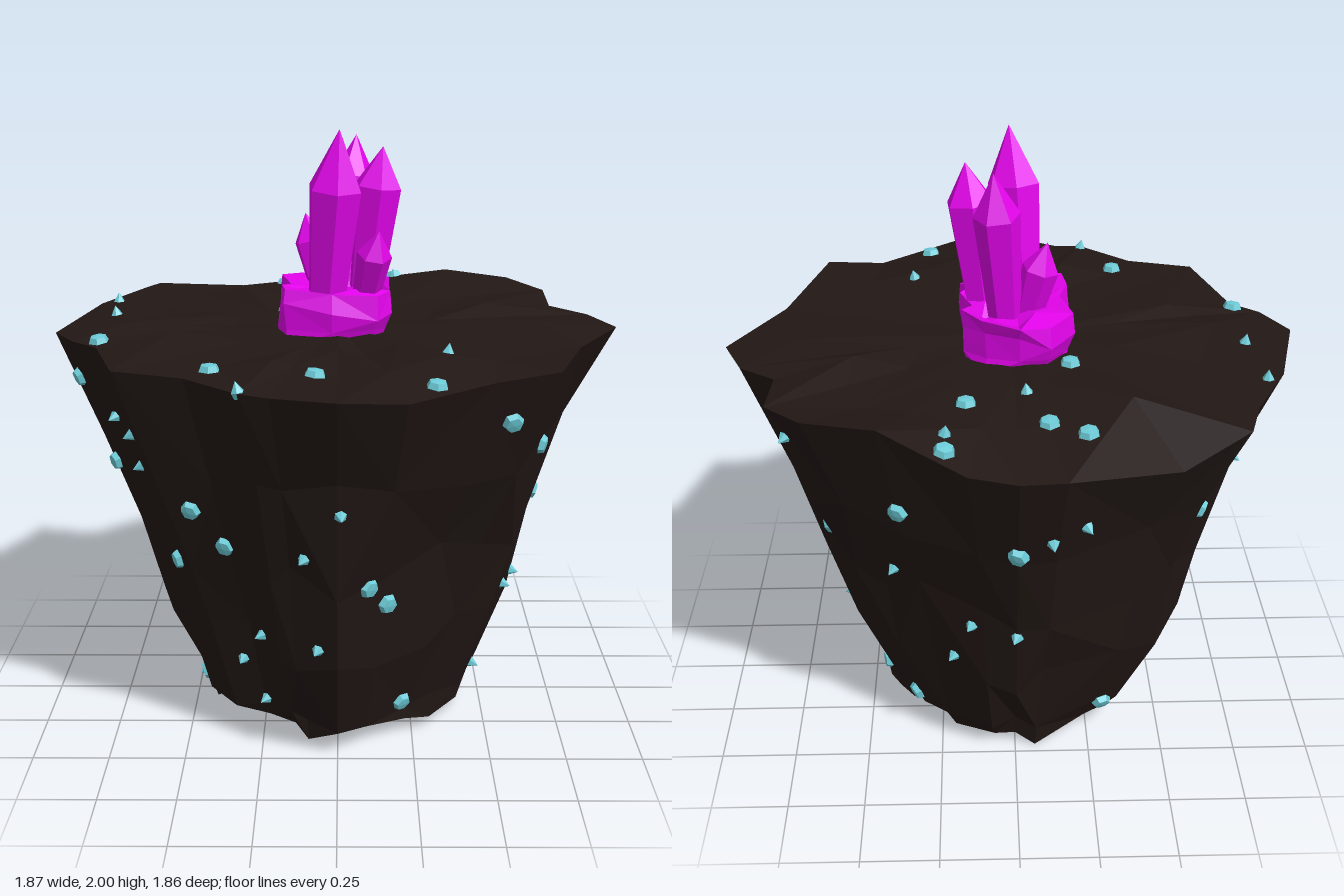
import * as THREE from 'three';

const paint = (color) => new THREE.MeshStandardMaterial({ color, flatShading: true });
const V = (x, y, z) => new THREE.Vector3(x, y, z);

// Seeded noise in -1..1
function makeNoise(seed) {
  return () => {
    seed = (seed * 16807) % 2147483647;
    return (seed / 2147483647) * 2 - 1;
  };
}

// Faceted closed skin through rings listed from the bottom centre to the top centre
function loft(rings) {
  const pos = [];
  const tri = (...pts) => pts.forEach((p) => pos.push(p.x, p.y, p.z));
  for (let i = 0; i < rings.length - 1; i++) {
    const a = rings[i], b = rings[i + 1], n = Math.max(a.length, b.length);
    for (let j = 0; j < n; j++) {
      const k = (j + 1) % n;
      if (a.length === 1) tri(a[0], b[j], b[k]);
      else if (b.length === 1) tri(a[j], b[0], a[k]);
      else if ((i + j) % 2) { tri(a[j], b[j], a[k]); tri(a[k], b[j], b[k]); }
      else { tri(a[j], b[j], b[k]); tri(a[j], b[k], a[k]); }
    }
  }
  const g = new THREE.BufferGeometry();
  g.setAttribute('position', new THREE.Float32BufferAttribute(pos, 3));
  g.computeVertexNormals();
  return g;
}

// Rim of the rock, seen from above: x, z
const RIM = [
  [0, -.93], [.145, -.9], [.405, -.74], [.63, -.66], [.75, -.52], [.745, -.31], [.865, -.21],
  [.935, -.04], [.77, .26], [.655, .64], [.46, .68], [.2, .9], [0, .925], [-.19, .84],
  [-.28, .82], [-.45, .66], [-.67, .59], [-.765, .27], [-.855, .19], [-.935, .05],
  [-.84, -.32], [-.72, -.56], [-.68, -.69], [-.485, -.71], [-.135, -.92],
];
// Rim points whose height stands out
const RIM_HEIGHTS = { 0: 1.31, 1: 1.32, 2: 1.385, 3: 1.37, 7: 1.325, 18: 1.33, 19: 1.325, 23: 1.22, 24: 1.31 };
// Columns where the lower wall falls back
const HOLLOWS = { 3: .91, 4: .92, 9: .91, 10: .92, 11: .95, 15: .94, 16: .93 };

function makeRock() {
  const rnd = makeNoise(4711);
  // height, scale, roundness, radial noise, height noise
  const levels = [
    [.07, .18, .5, .05, .03], [.055, .34, .5, .05, .035], [.05, .5, .5, .02, .035],
    [.11, .528, .5, .02, .03], [.4, .665, .4, .025, .07], [.7, .74, .25, .022, .07],
    [1.0, .84, .12, .015, .05], [1.34, 1, 0, 0, .012],
    [1.35, .72, .2, .05, .02], [1.345, .4, .5, .04, .012],
  ];
  const rings = levels.map(([y, s, round, dr, dy]) => RIM.map(([x, z]) => {
    const r = Math.hypot(x, z);
    const k = (s * THREE.MathUtils.lerp(r, .9, round) + rnd() * dr) / r;
    return V(x * k, Math.max(0.005, y + rnd() * dy), z * k);
  }));
  for (const [i, y] of Object.entries(RIM_HEIGHTS)) rings[7][i].y = y;
  for (const level of [2, 3, 4, 5]) {
    for (const [i, k] of Object.entries(HOLLOWS)) rings[level][i].multiply(V(k, 1, k));
  }
  // Crease running up the front wall, and the lowest point of the underside
  for (const level of [4, 5]) rings[level][11].multiply(V(.93, 1, .93));
  rings[2][24].y = 0;
  return loft([[V(0, .06, 0)], ...rings, [V(0, 1.34, 0)]]);
}

// Lumpy foot the crystals grow from
const FOOT = [
  [-.02, -.275], [.1, -.245], [.16, -.17], [.14, -.1], [.17, -.02], [.14, .06], [.17, .11],
  [.13, .17], [-.02, .2], [-.18, .17], [-.2, .08], [-.165, .0], [-.19, -.15], [-.12, -.25],
];

function makeFoot() {
  const rnd = makeNoise(99);
  const levels = [[1.3, .85, 0], [1.36, .92, .01], [1.42, .98, .03], [1.488, .95, .02], [1.475, .6, .03]];
  const rings = levels.map(([y, s, dy]) => FOOT.map(([x, z]) => {
    const k = s + rnd() * .07;
    return V((x + .01) * k - .01, y + rnd() * dy, (z + .04) * k - .04);
  }));
  return loft([[V(-.01, 1.3, -.04)], ...rings, [V(-.01, 1.46, -.04)]]);
}

// Six-sided crystal from its root to its tip
function makeCrystal(root, tip, r, shoulder, turn) {
  const axis = tip.clone().sub(root), h = axis.length();
  const profile = [[0, 0], [r * .68, 0], [r, h * shoulder], [0, h]].map((p) => new THREE.Vector2(...p));
  const g = new THREE.LatheGeometry(profile, 6);
  g.rotateY(turn);
  g.applyQuaternion(new THREE.Quaternion().setFromUnitVectors(V(0, 1, 0), axis.normalize()));
  g.translate(root.x, root.y, root.z);
  return g;
}

// Gems by the side they sit on: two coordinates across that side
const GEMS = {
  front: {
    large: [[.52, 1.19], [-.455, .87], [-.35, .75], [-.52, .625], [.095, .66], [.155, .58], [.21, .14], [-.85, 1.19], [-.745, .89]],
    small: [[-.72, 1.09], [-.64, 1.09], [-.63, .95], [.01, .945], [-.1, .78], [-.24, .435], [-.06, .45], [-.31, .3], [-.235, .15], [-.46, .11]],
  },
  right: {
    large: [[.23, 1], [-.375, .855], [-.045, .745], [-.1, .1], [-.665, 1.07], [-.32, .13]],
    small: [[.115, .46], [0, .46], [-.155, .445], [-.52, 1.25], [-.52, .775], [-.62, .62], [.045, .125]],
  },
  top: {
    large: [[-.205, -.69], [-.095, -.62], [.15, -.51], [.21, -.8], [-.18, -.225], [-.765, .215], [-.38, .575], [-.065, .65], [.285, .75]],
    small: [[-.785, -.355], [-.755, -.105], [.335, .455], [-.035, -.425], [.21, -.72], [-.28, .8]],
  },
  back: {
    large: [[0, 1], [-.3, .12]],
    small: [[-.1, 1.05], [-.2, 1.08], [0, .62], [.2, .45]],
  },
  left: {
    large: [[-.5, .97], [-.05, .25], [.1, .12]],
    small: [[-.4, 1.1]],
  },
};
// Start point of a ray towards each side, and its direction
const SIDES = {
  front: [(a, b) => V(a, b, 3), V(0, 0, -1)],
  back: [(a, b) => V(a, b, -3), V(0, 0, 1)],
  right: [(a, b) => V(3, b, a), V(-1, 0, 0)],
  left: [(a, b) => V(-3, b, a), V(1, 0, 0)],
  top: [(a, b) => V(a, 3, b), V(0, -1, 0)],
};
const gemShape = (pts) => new THREE.LatheGeometry(pts.map((p) => new THREE.Vector2(...p)), 6);

export function createModel() {
  const model = new THREE.Group();
  const add = (parent, name, geometry, material) => {
    const mesh = new THREE.Mesh(geometry, material);
    mesh.name = name;
    parent.add(mesh);
    return mesh;
  };

  const rock = add(model, 'rock', makeRock(), paint(0x221815));

  // Crystal cluster: root, tip, radius, shoulder position, turn
  const magenta = paint(0xe404ec);
  const cluster = new THREE.Group();
  cluster.name = 'crystalCluster';
  model.add(cluster);
  add(cluster, 'crystalFoot', makeFoot(), magenta);
  [
    [V(-.04, 1.4, .085), V(.005, 2, .165), .09, .69, .1],
    [V(.085, 1.4, -.03), V(.145, 1.93, .0), .08, .76, .1],
    [V(.02, 1.4, -.09), V(.06, 1.95, -.18), .074, .75, .6],
    [V(-.04, 1.4, -.07), V(-.11, 1.7, -.1), .06, .7, .2],
    [V(.08, 1.4, .07), V(.13, 1.685, .18), .057, .72, .5],
  ].forEach((c) => add(cluster, 'crystal', makeCrystal(...c), magenta));

  // Gems set into the rock surface, standing along its normal
  const teal = paint(0x6ccbd7);
  const shapes = {
    large: gemShape([[.02, -.03], [.034, 0], [.026, .018], [0, .021]]),
    small: gemShape([[.014, -.02], [.02, 0], [0, .032]]),
  };
  const gems = new THREE.Group();
  gems.name = 'gems';
  model.add(gems);
  const ray = new THREE.Raycaster();
  for (const [side, sizes] of Object.entries(GEMS)) {
    const [start, dir] = SIDES[side];
    for (const [size, spots] of Object.entries(sizes)) {
      for (const [a, b] of spots) {
        ray.set(start(a, b), dir);
        const hit = ray.intersectObject(rock)[0];
        if (!hit) continue;
        const gem = add(gems, size + 'Gem', shapes[size], teal);
        gem.position.copy(hit.point);
        gem.quaternion.setFromUnitVectors(V(0, 1, 0), hit.face.normal);
      }
    }
  }
  return model;
}
